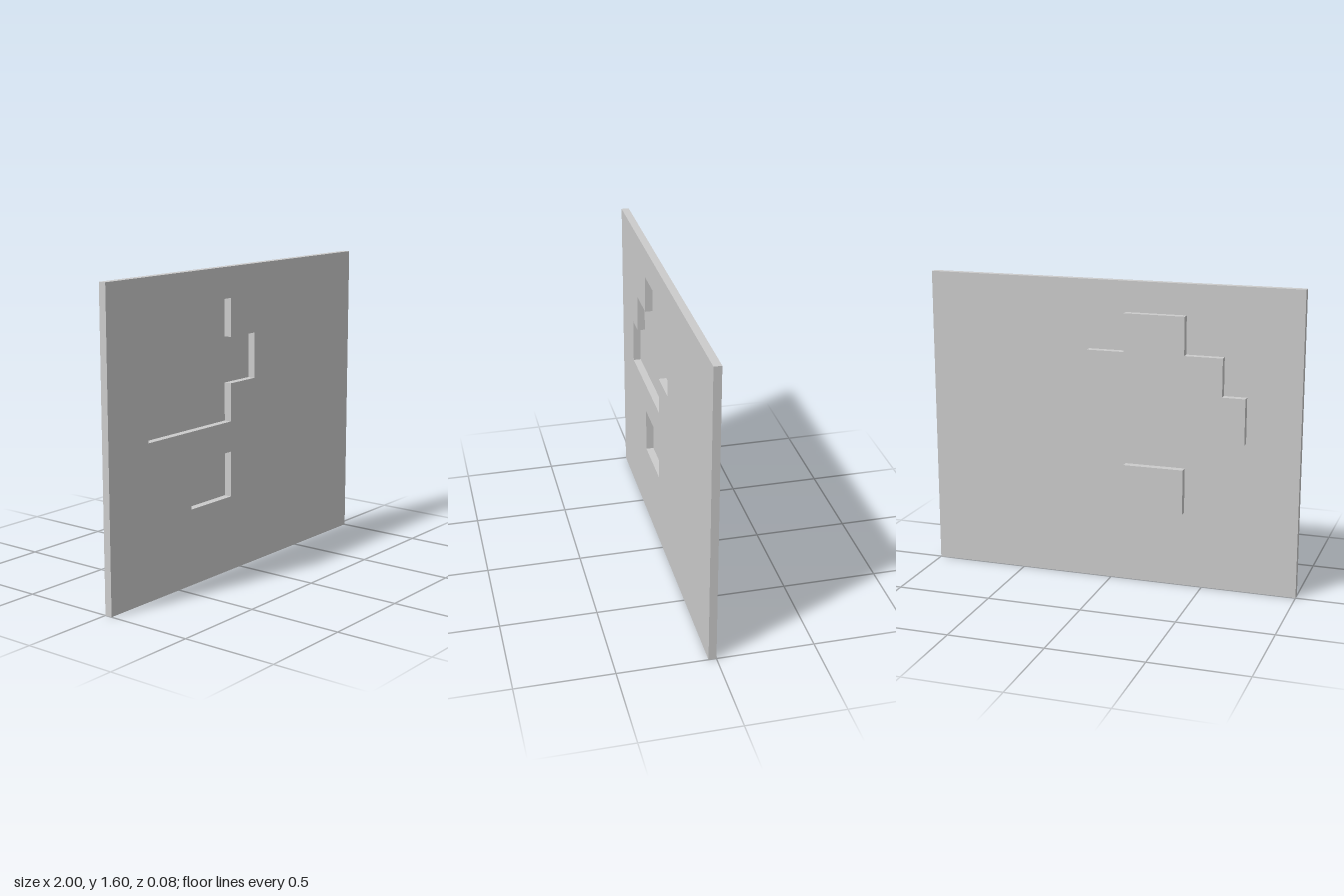
import * as THREE from 'three';

const T = 0.04; // thickness of the panel and depth of the offset pieces

const outline = (points) => points.map(([x, y]) => new THREE.Vector2(x, y));

// Outlines of the two punched-back areas, counter-clockwise
const steppedOutline = outline([
  [-0.72, 0.8], [-0.08, 0.8], [-0.08, 1.0], [0.12, 1.0], [0.12, 1.24], [-0.08, 1.24],
  [-0.08, 1.44], [-0.4, 1.44], [-0.4, 1.24], [-0.6, 1.24], [-0.6, 1.04], [-0.72, 1.04],
]);
const smallOutline = outline([[-0.4, 0.4], [-0.08, 0.4], [-0.08, 0.64], [-0.4, 0.64]]);

export function createModel() {
  const group = new THREE.Group();
  const material = new THREE.MeshStandardMaterial({ color: 0xcccccc });

  const addPlate = (name, shape, z) => {
    const geometry = new THREE.ExtrudeGeometry(shape, { depth: T, bevelEnabled: false });
    const mesh = new THREE.Mesh(geometry, material);
    mesh.name = name;
    mesh.position.z = z;
    group.add(mesh);
  };

  // Front panel with openings
  const panel = new THREE.Shape(outline([[-1, 0], [1, 0], [1, 1.6], [-1, 1.6]]));
  for (const points of [steppedOutline, smallOutline]) panel.holes.push(new THREE.Path(points));
  addPlate('panel', panel, 0);

  // Matching blocks behind: recess floors in front, raised pads at the back
  addPlate('steppedBlock', new THREE.Shape(steppedOutline), -T);
  addPlate('smallBlock', new THREE.Shape(smallOutline), -T);

  return group;
}
